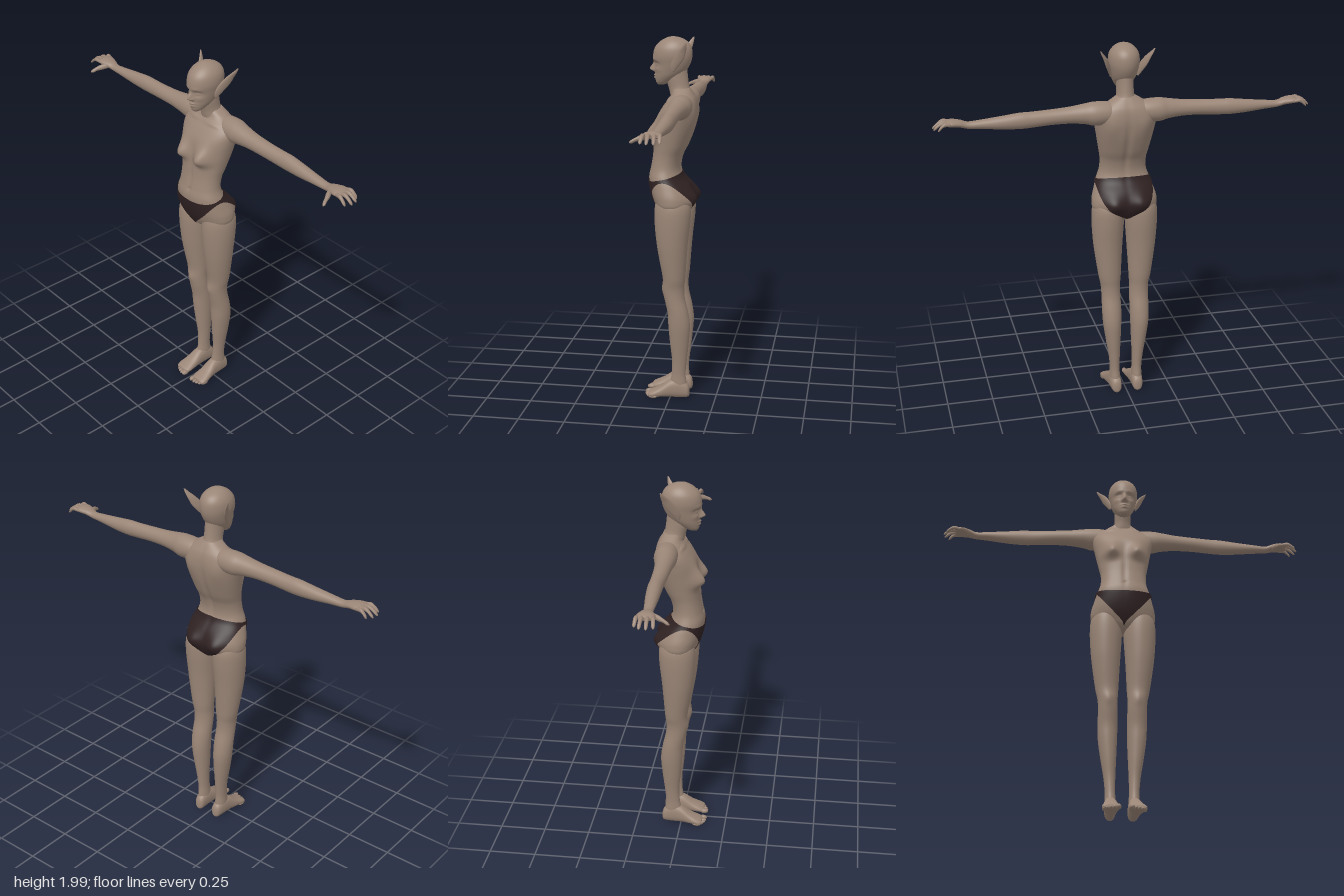
import * as THREE from 'three';

const skin = new THREE.MeshStandardMaterial({ color: 0x9a8576 });
skin.name = 'skin';
const cloth = new THREE.MeshStandardMaterial({ color: 0x2f2122, side: THREE.DoubleSide });
cloth.name = 'dark cloth';

// Places (u, v, t) of a section in space for lofts along each axis
const AXES = {
  y: { place: (u, v, t) => new THREE.Vector3(u, t, v), flip: true },
  z: { place: (u, v, t) => new THREE.Vector3(u, v, t), flip: false },
  x: { place: (u, v, t) => new THREE.Vector3(t, v, u), flip: true },
};

// Smooth interpolation between section rows, s in 0..1
function rowAt(rows, s) {
  const f = s * (rows.length - 1), i = Math.min(Math.floor(f), rows.length - 2), w = f - i;
  const r = k => rows[Math.max(0, Math.min(rows.length - 1, k))];
  return rows[0].map((_, c) => {
    const [a, b, d, e] = [r(i - 1)[c], r(i)[c], r(i + 1)[c], r(i + 2)[c]];
    return b + 0.5 * w * (d - a + w * (2 * a - 5 * b + 4 * d - e + w * (3 * (b - d) + e - a)));
  });
}

// One point of a section row [t, centre u, radius u, v max, v min]
function ringPoint(row, a, axis, n, warp) {
  const [t, cu, ru, hi, lo] = row;
  const pow = c => Math.sign(c) * Math.abs(c) ** (2 / n);
  const p = AXES[axis].place(cu + ru * pow(Math.cos(a)), (hi + lo) / 2 + (hi - lo) / 2 * pow(Math.sin(a)), t);
  if (warp) warp(p);
  return p;
}

// Grid of points closed around; optional caps at both ends
function skinGrid(rings, seg, flip, caps) {
  const pos = [], index = [];
  const tri = (a, b, c) => (flip ? index.push(a, c, b) : index.push(a, b, c));
  rings.forEach(ring => ring.forEach(p => pos.push(p.x, p.y, p.z)));
  for (let i = 0; i < rings.length - 1; i++)
    for (let j = 0; j < seg; j++) {
      const a = i * seg + j, b = i * seg + (j + 1) % seg;
      tri(a, b, a + seg);
      tri(b, b + seg, a + seg);
    }
  if (caps) [0, rings.length - 1].forEach((r, k) => {
    const c = rings[r].reduce((s, p) => s.add(p), new THREE.Vector3()).divideScalar(seg);
    const id = pos.length / 3;
    pos.push(c.x, c.y, c.z);
    for (let j = 0; j < seg; j++) {
      const a = r * seg + j, b = r * seg + (j + 1) % seg;
      if (k) tri(a, b, id); else tri(b, a, id);
    }
  });
  const g = new THREE.BufferGeometry();
  g.setAttribute('position', new THREE.Float32BufferAttribute(pos, 3));
  g.setIndex(index);
  g.computeVertexNormals();
  return g;
}

function loft(rows, { axis = 'y', seg = 32, steps = 6, n = 2, warp } = {}) {
  const count = (rows.length - 1) * steps, rings = [];
  for (let i = 0; i <= count; i++) {
    const row = rowAt(rows, i / count);
    rings.push(Array.from({ length: seg }, (_, j) => ringPoint(row, j / seg * Math.PI * 2, axis, n, warp)));
  }
  return skinGrid(rings, seg, AXES[axis].flip, true);
}

function mirrored(geo) {
  const g = geo.clone().scale(-1, 1, 1), ix = g.index;
  for (let i = 0; i < ix.count; i += 3) {
    const b = ix.getX(i + 1);
    ix.setX(i + 1, ix.getX(i + 2));
    ix.setX(i + 2, b);
  }
  g.computeVertexNormals();
  return g;
}

const bump = (d, s) => Math.exp(-((d / s) ** 2));

// Torso: pelvis, waist, ribs and shoulders
const TORSO = [
  [1.03, 0, 0.03, 0.01, -0.05], [1.05, 0, 0.08, 0.055, -0.085], [1.09, 0, 0.165, 0.08, -0.11],
  [1.14, 0, 0.176, 0.1, -0.12], [1.2, 0, 0.16, 0.115, -0.098], [1.25, 0, 0.143, 0.12, -0.06],
  [1.3, 0, 0.127, 0.11, -0.048], [1.36, 0, 0.125, 0.1, -0.06], [1.42, 0, 0.135, 0.095, -0.09],
  [1.5, 0, 0.15, 0.085, -0.12], [1.57, 0, 0.163, 0.073, -0.135], [1.62, 0, 0.168, 0.047, -0.137],
  [1.66, 0, 0.145, 0.018, -0.13], [1.69, 0, 0.1, 0, -0.115], [1.72, 0, 0.05, -0.005, -0.095],
];
function torsoWarp(p) {
  const x = Math.abs(p.x);
  if (p.z > 0) {
    const low = p.y < 1.48 ? 0.034 : 0.06;
    p.z += 0.048 * bump(x - 0.072, 0.042) * bump(p.y - 1.48, low); // breasts
    p.z -= 0.006 * bump(x, 0.012) * bump(p.y - 1.36, 0.1); // belly line
    p.z -= 0.008 * bump(x, 0.008) * bump(p.y - 1.285, 0.008); // navel
    p.z += 0.006 * bump(x - 0.07, 0.05) * bump(p.y - 1.665 + x * 0.05, 0.01); // collar bones
  } else if (p.z < -0.02) {
    p.z -= 0.026 * bump(x - 0.075, 0.05) * bump(p.y - 1.14, 0.05); // buttocks
    p.z += 0.012 * bump(x, 0.016) * bump(p.y - 1.45, 0.16); // spine groove
    p.z -= 0.008 * bump(x - 0.09, 0.04) * bump(p.y - 1.57, 0.06); // shoulder blades
  }
}

// Point on the torso at a given height and angle, pushed outward
function torsoPoint(y, a, out) {
  let lo = 0, hi = 1;
  for (let k = 0; k < 24; k++) {
    const m = (lo + hi) / 2;
    if (rowAt(TORSO, m)[0] < y) lo = m; else hi = m;
  }
  const p = ringPoint(rowAt(TORSO, lo), a, 'y', 2.2, torsoWarp);
  const r = Math.hypot(p.x, p.z) || 1;
  p.x *= 1 + out / r;
  p.z *= 1 + out / r;
  return p;
}

// Briefs: a thin shell with high leg cuts
function briefsGeometry() {
  const seg = 128, rows = 20, rings = [];
  for (let i = 0; i <= rows; i++)
    rings.push(Array.from({ length: seg }, (_, j) => {
      const a = j / seg * Math.PI * 2, d = Math.abs(Math.cos(a)), front = Math.sin(a) >= 0;
      const bottom = 1.046 + 0.187 * d ** (front ? 0.8 : 1.6);
      const top = 1.25 - 0.022 * Math.sin(a);
      return torsoPoint(bottom + (top - bottom) * i / rows, a, 0.006);
    }));
  return skinGrid(rings, seg, true, false);
}

// Face relief: brow, eyes, nose, lips and chin
function faceWarp(p) {
  if (p.z < 0.03) return;
  const x = Math.abs(p.x), y = p.y;
  p.z += 0.028 * bump(x, 0.011) * bump(y - 1.815, y < 1.815 ? 0.011 : 0.028);
  p.z += 0.008 * bump(x - 0.013, 0.007) * bump(y - 1.811, 0.008);
  p.z += 0.005 * bump(x - 0.03, 0.028) * bump(y - 1.868, 0.012);
  p.z -= 0.014 * bump(x - 0.034, 0.018) * bump(y - 1.845, 0.014);
  p.z += 0.009 * bump(x - 0.034, 0.013) * bump(y - 1.843, 0.008);
  p.z += 0.004 * bump(x - 0.045, 0.015) * bump(y - 1.815, 0.015);
  p.z += 0.008 * bump(x, 0.018) * (bump(y - 1.785, 0.005) + bump(y - 1.771, 0.006));
}

export function createModel() {
  const model = new THREE.Group();
  model.name = 'figure';
  const add = (name, geo, mat = skin) => {
    const m = new THREE.Mesh(geo, mat);
    m.name = name;
    model.add(m);
  };
  const pair = (name, geo) => {
    add(name + 'Left', geo);
    add(name + 'Right', mirrored(geo));
  };

  add('torso', loft(TORSO, { seg: 96, steps: 8, n: 2.2, warp: torsoWarp }));
  add('briefs', briefsGeometry(), cloth);
  add('neck', loft([
    [1.64, 0, 0.085, -0.005, -0.125], [1.68, 0, 0.062, 0.008, -0.113], [1.72, 0, 0.047, 0.018, -0.094],
    [1.77, 0, 0.045, 0.033, -0.085], [1.82, 0, 0.045, 0.03, -0.08],
  ]));
  add('head', loft([
    [1.735, 0, 0.016, 0.076, 0.04], [1.75, 0, 0.034, 0.086, 0.005], [1.78, 0, 0.053, 0.089, -0.04],
    [1.81, 0, 0.064, 0.09, -0.075], [1.85, 0, 0.074, 0.094, -0.098], [1.89, 0, 0.081, 0.1, -0.107],
    [1.93, 0, 0.077, 0.09, -0.103], [1.96, 0, 0.06, 0.064, -0.083], [1.98, 0, 0.034, 0.03, -0.047],
    [1.988, 0, 0.004, 0, -0.008],
  ], { seg: 112, steps: 10, warp: faceWarp }));

  // Long pointed ears, swept back and outward
  pair('ear', loft([
    [1.812, 0.07, 0.004, -0.005, -0.022], [1.84, 0.079, 0.008, -0.002, -0.045], [1.88, 0.093, 0.01, -0.018, -0.075],
    [1.92, 0.11, 0.009, -0.047, -0.09], [1.95, 0.128, 0.006, -0.074, -0.096], [1.97, 0.14, 0.002, -0.09, -0.097],
  ], { seg: 24, warp: p => { p.x -= (p.z + 0.02 + (p.y - 1.83) * 0.5) * 0.35; } }));

  // Arms with palms
  pair('arm', loft([
    [0.03, -0.065, 0.045, 1.68, 1.6], [0.1, -0.066, 0.058, 1.697, 1.58], [0.17, -0.066, 0.06, 1.7, 1.575],
    [0.22, -0.062, 0.053, 1.692, 1.585], [0.3, -0.06, 0.044, 1.68, 1.593], [0.4, -0.06, 0.039, 1.673, 1.592],
    [0.5, -0.063, 0.036, 1.669, 1.586], [0.56, -0.064, 0.036, 1.668, 1.584], [0.65, -0.062, 0.033, 1.657, 1.588],
    [0.75, -0.058, 0.027, 1.645, 1.597], [0.82, -0.056, 0.024, 1.639, 1.602], [0.86, -0.054, 0.034, 1.65, 1.612],
    [0.9, -0.053, 0.045, 1.655, 1.618], [0.925, -0.053, 0.044, 1.65, 1.622], [0.937, -0.053, 0.036, 1.643, 1.628],
  ], { axis: 'x' }));

  // Fingers: base z, tip x, tip z
  [[-0.09, 0.975, -0.098], [-0.066, 0.996, -0.073], [-0.041, 1, -0.04], [-0.018, 0.985, -0.008]].forEach(([z, tip, tz], i) => {
    const l = tip - 0.91, at = (f, y, r) => [0.91 + l * f, z + (tz - z) * f, r, y + r, y - r];
    pair('finger' + (i + 1), loft([
      at(0, 1.636, 0.009), at(0.4, 1.64, 0.0105), at(0.65, 1.633, 0.0095), at(0.9, 1.617, 0.008), at(1, 1.61, 0.002),
    ], { axis: 'x', seg: 12, steps: 4 }));
  });
  pair('thumb', loft([
    [-0.035, 0.862, 0.013, 1.64, 1.612], [0, 0.88, 0.014, 1.634, 1.605], [0.025, 0.892, 0.01, 1.623, 1.602],
    [0.045, 0.9, 0.009, 1.612, 1.594], [0.056, 0.904, 0.002, 1.602, 1.597],
  ], { axis: 'z', seg: 14 }));

  // Legs with knee relief
  pair('leg', loft([
    [0.03, 0.062, 0.026, -0.01, -0.085], [0.08, 0.062, 0.029, 0, -0.09], [0.14, 0.063, 0.027, -0.008, -0.085],
    [0.22, 0.066, 0.031, -0.01, -0.092], [0.32, 0.072, 0.041, 0, -0.103], [0.42, 0.077, 0.05, 0.008, -0.11],
    [0.5, 0.078, 0.053, 0.013, -0.1], [0.58, 0.078, 0.052, 0.03, -0.082], [0.64, 0.08, 0.053, 0.038, -0.079],
    [0.7, 0.084, 0.061, 0.038, -0.085], [0.8, 0.089, 0.071, 0.055, -0.092], [0.9, 0.092, 0.08, 0.07, -0.1],
    [1.02, 0.092, 0.087, 0.08, -0.113], [1.1, 0.092, 0.082, 0.077, -0.113], [1.16, 0.09, 0.06, 0.06, -0.09],
  ], { seg: 48, warp: p => { if (p.z > 0) p.z += 0.006 * bump(p.x - 0.078, 0.022) * bump(p.y - 0.63, 0.03); } }));

  // Feet and toes
  pair('foot', loft([
    [-0.107, 0.06, 0.008, 0.05, 0.015], [-0.095, 0.06, 0.026, 0.08, 0.003], [-0.05, 0.062, 0.032, 0.11, 0],
    [0, 0.063, 0.035, 0.1, 0], [0.05, 0.066, 0.042, 0.065, 0], [0.09, 0.068, 0.047, 0.043, 0],
    [0.112, 0.068, 0.043, 0.032, 0.002], [0.12, 0.068, 0.034, 0.025, 0.005],
  ], { axis: 'z', n: 2.3 }));
  [0.034, 0.055, 0.073, 0.09, 0.104].forEach((x, i) => {
    const r = i ? 0.0095 : 0.014;
    pair('toe' + (i + 1), new THREE.SphereGeometry(1, 16, 12).scale(r, r, 0.024).translate(x, r, 0.121 - i * i * 0.0018));
  });
  return model;
}
